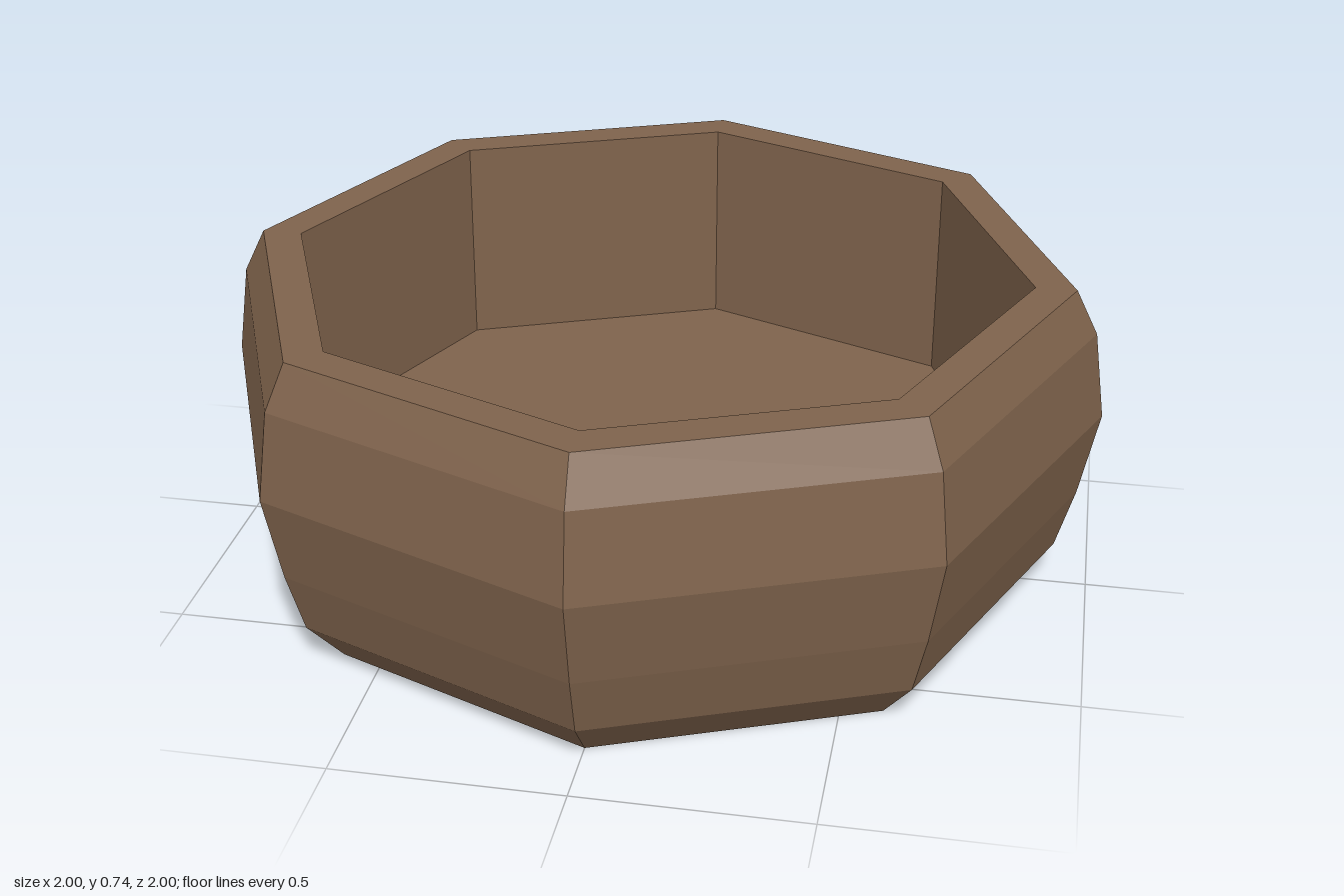
import * as THREE from 'three';

const SIDES = 8;

// Revolve a profile into a faceted eight-sided surface
function facetedLathe(profile) {
  const points = profile.map(([r, y]) => new THREE.Vector2(r, y));
  const geometry = new THREE.LatheGeometry(points, SIDES).toNonIndexed();
  geometry.computeVertexNormals();
  return geometry;
}

export function createModel() {
  const model = new THREE.Group();
  model.name = 'bowl';

  const wood = new THREE.MeshStandardMaterial({ color: 0x7f634c });
  wood.name = 'brown wood';

  const parts = {
    // Flat underside and bulging outer wall
    outerWall: [[0, 0], [0.835, 0], [0.92, 0.1], [0.96, 0.24], [1, 0.437], [0.972, 0.635], [0.922, 0.735]],
    // Flat ring around the opening
    rim: [[0.922, 0.735], [0.832, 0.735]],
    // Straight inner wall
    innerWall: [[0.832, 0.735], [0.832, 0.24]],
    // Floor of the hollow
    floor: [[0.832, 0.24], [0, 0.24]],
  };

  for (const [name, profile] of Object.entries(parts)) {
    const mesh = new THREE.Mesh(facetedLathe(profile), wood);
    mesh.name = name;
    model.add(mesh);
  }
  return model;
}
